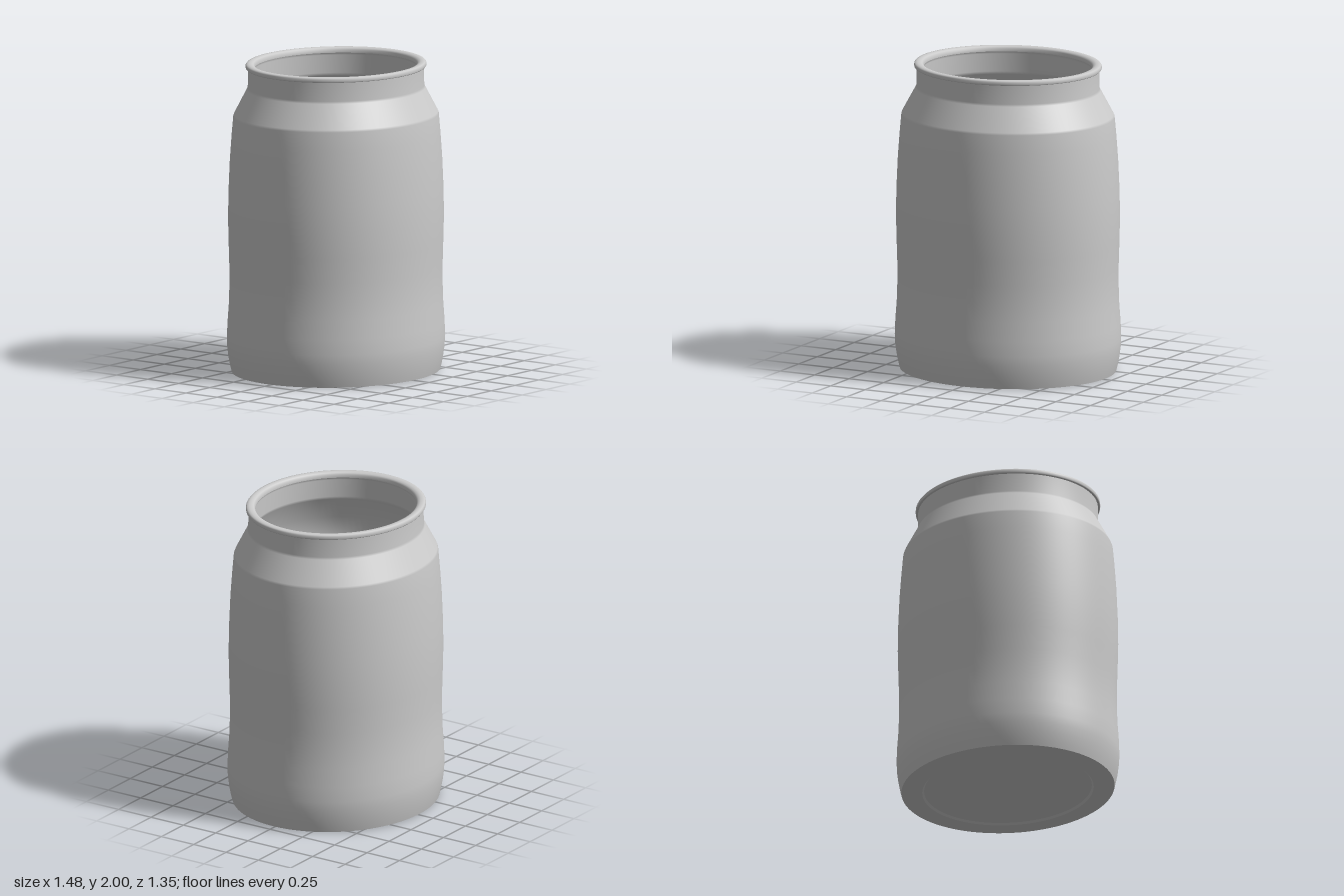
import * as THREE from 'three';

const DEPTH = 0.912; // the jar is oval: z radius relative to x radius
const SEGMENTS = 96;

const material = new THREE.MeshStandardMaterial({ color: 0xcccccc, side: THREE.DoubleSide });

// Outer side as [x radius, height], from the foot up to the shoulder edge
const bodyProfile = [
  [0.706, 0.006], [0.716, 0.045], [0.727, 0.1], [0.735, 0.16], [0.738, 0.22], [0.734, 0.32],
  [0.725, 0.44], [0.721, 0.56], [0.721, 0.68], [0.726, 0.84], [0.73, 1.0],
  [0.727, 1.18], [0.718, 1.38], [0.706, 1.54], [0.695, 1.66],
];

// Oval lathe part; profiles run up the outside and down the inside
function ovalPart(name, points) {
  const geometry = new THREE.LatheGeometry(points.map(([r, y]) => new THREE.Vector2(r, y)), SEGMENTS);
  geometry.scale(1, 1, DEPTH);
  const mesh = new THREE.Mesh(geometry, material);
  mesh.name = name;
  return mesh;
}

export function createModel() {
  const jar = new THREE.Group();
  jar.name = 'jar';

  // Underside: shallow recessed panel inside a nearly flat foot ring
  jar.add(ovalPart('basePanel', [[0, 0.03], [0.25, 0.027], [0.45, 0.02], [0.555, 0.012]]));
  jar.add(ovalPart('baseStep', [[0.555, 0.012], [0.568, 0]]));
  jar.add(ovalPart('footRing', [[0.568, 0], [0.64, 0.001], [0.69, 0.003], [0.706, 0.006]]));

  // Outer wall, sloping shoulder and straight neck
  jar.add(ovalPart('body', [...bodyProfile, [0.689, 1.675], [0.604, 1.83], [0.597, 1.845], [0.595, 1.97]]));

  // Rolled rim with a small bevel
  jar.add(ovalPart('rim', [
    [0.595, 1.968], [0.607, 1.968], [0.611, 1.973], [0.611, 1.99], [0.604, 1.998],
    [0.59, 2], [0.575, 2], [0.56, 1.995], [0.55, 1.985], [0.55, 1.965],
  ]));

  // Inner wall follows the outside at a constant thickness
  const inner = bodyProfile.filter(([, y]) => y > 0.12).reverse().map(([r, y]) => [r - 0.04, y]);
  jar.add(ovalPart('innerWall', [
    [0.55, 1.965], [0.557, 1.95], [0.557, 1.835], [0.565, 1.815], ...inner,
    [0.67, 0.12], [0.62, 0.085],
  ]));

  // Gently dished inner floor
  jar.add(ovalPart('innerFloor', [[0.62, 0.085], [0.5, 0.07], [0.3, 0.055], [0, 0.045]]));

  return jar;
}
